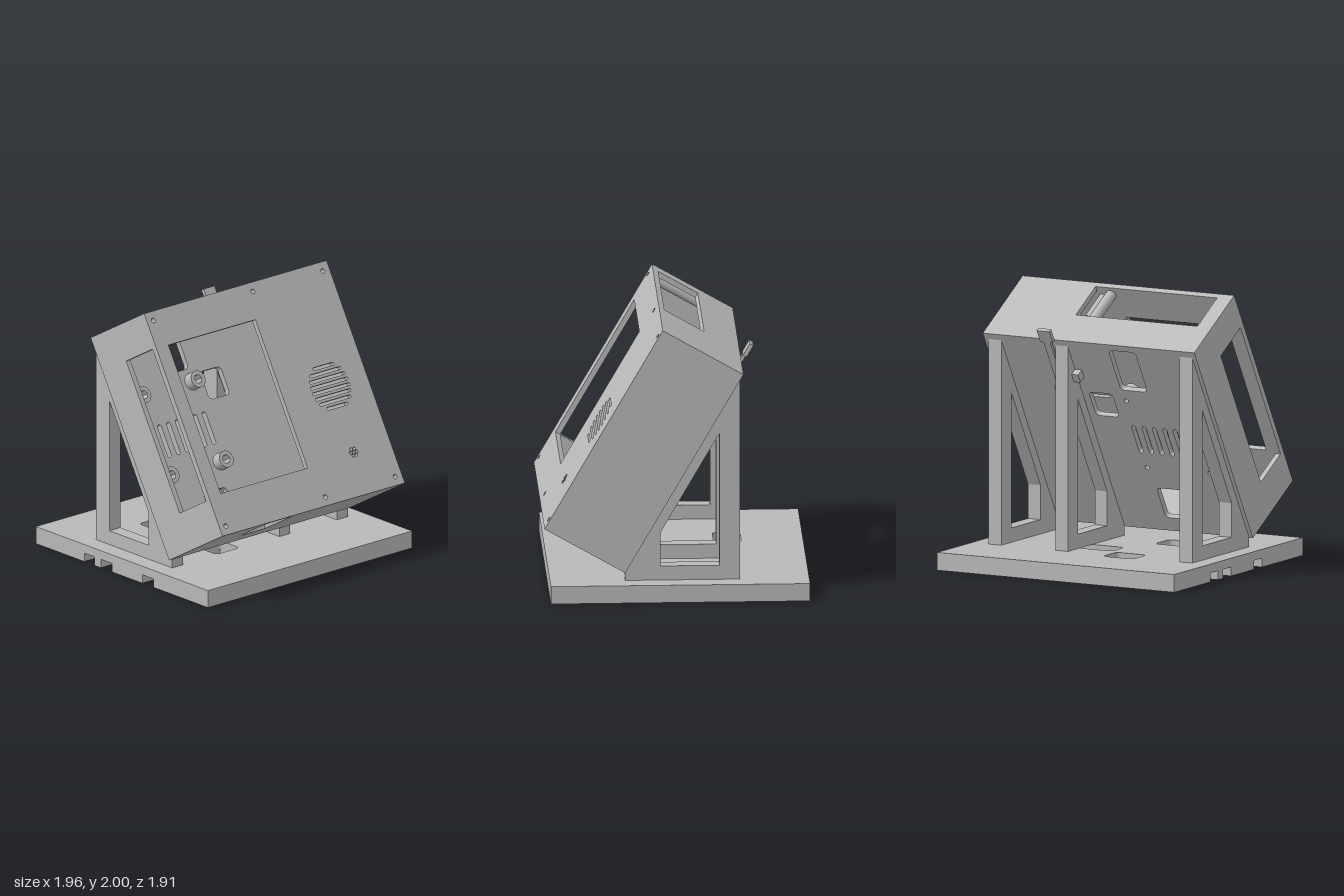
import * as THREE from 'three';

const grey = new THREE.MeshStandardMaterial({ color: 0xb8b8b8 });
grey.name = 'plastic grey';

// Rounded rectangle from min to max corner; r = 0 gives sharp corners
function rect(x0, y0, x1, y1, r = 0, path = new THREE.Path()) {
  if (r === 0) {
    path.setFromPoints([[x0, y0], [x1, y0], [x1, y1], [x0, y1]].map(p => new THREE.Vector2(...p)));
    return path;
  }
  path.absarc(x1 - r, y0 + r, r, -Math.PI / 2, 0);
  path.absarc(x1 - r, y1 - r, r, 0, Math.PI / 2);
  path.absarc(x0 + r, y1 - r, r, Math.PI / 2, Math.PI);
  path.absarc(x0 + r, y0 + r, r, Math.PI, Math.PI * 1.5);
  return path;
}

const circle = (x, y, r, path = new THREE.Path()) => path.absarc(x, y, r, 0, Math.PI * 2);
const poly = (pts) => new THREE.Shape(pts.map(p => new THREE.Vector2(...p)));
const rectShape = (...a) => rect(a[0], a[1], a[2], a[3], 0, new THREE.Shape());

// Extruded plate with holes, added to a parent
function plate(parent, name, shape, holes, depth, curveSegments = 8) {
  shape.holes.push(...holes);
  const geo = new THREE.ExtrudeGeometry(shape, { depth, bevelEnabled: false, curveSegments });
  const mesh = new THREE.Mesh(geo, grey);
  mesh.name = name;
  parent.add(mesh);
  return mesh;
}

function box(parent, name, x0, x1, y0, y1, z0, z1) {
  const mesh = new THREE.Mesh(new THREE.BoxGeometry(x1 - x0, y1 - y0, z1 - z0), grey);
  mesh.position.set((x0 + x1) / 2, (y0 + y1) / 2, (z0 + z1) / 2);
  mesh.name = name;
  parent.add(mesh);
}

// Base slab: cable holes, channels under it to the -x edge, foot recesses
function buildBase(parent) {
  const base = new THREE.Group();
  base.name = 'base';
  const X = 0.98, Z0 = -0.955, Z1 = 0.91;
  const cutouts = [
    { x: [-0.41, -0.19], z: [0.15, 0.36], c: [0.2, 0.32] },
    { x: [-0.08, 0.28], z: [-0.28, -0.1], c: [-0.25, -0.13] },
    { x: [-0.385, -0.135], z: [-0.51, -0.31], c: [-0.43, -0.32] },
  ];
  const outline = () => {
    const pts = [[X, Z0], [X, Z1], [-X, Z1]];
    for (const { x, z, c } of cutouts) {
      pts.push([-X, c[1]], [x[0], c[1]], [x[0], z[1]], [x[1], z[1]],
        [x[1], z[0]], [x[0], z[0]], [x[0], c[0]], [-X, c[0]]);
    }
    pts.push([-X, Z0]);
    return poly(pts);
  };
  const holes = cutouts.map(({ x, z }) => rect(x[0], z[0], x[1], z[1], 0.035));
  const feet = [];
  for (const x of [-0.87, 0.87]) for (const z of [-0.845, 0.8]) feet.push(circle(x, z, 0.055));
  const layers = [
    ['baseTop', rectShape(-X, Z0, X, Z1), holes, 0.065, 0.13],
    ['baseChannels', outline(), [], 0.05, 0.065],
    ['baseUnderside', outline(), feet, 0.015, 0.015],
  ];
  for (const [name, shape, cut, depth, y] of layers) {
    const m = plate(base, name, shape, cut, depth);
    m.rotation.x = Math.PI / 2;
    m.position.y = y;
  }
  parent.add(base);
}

// Three triangular frames carrying the case
function buildLegs(parent) {
  for (const [x0, x1] of [[-0.845, -0.74], [0.185, 0.285], [0.735, 0.84]]) {
    const shape = poly([[0.37, 0.13], [0.37, 0.195], [-0.455, 1.625], [-0.455, 0.13]]);
    const hole = poly([[0.115, 0.235], [0.115, 0.485], [-0.31, 1.225], [-0.31, 0.235]]);
    const leg = plate(parent, 'leg', shape, [hole], x1 - x0);
    leg.rotation.y = -Math.PI / 2;
    leg.position.x = x1;
  }
}

// Hollow case, built upright and then leaned back 30 degrees
function buildCase(parent) {
  const W = 0.875, H = 1.7, D = 0.67, T = 0.04;
  const shell = new THREE.Group();
  shell.name = 'case';
  shell.position.set(0, 0.195, 0.37);
  shell.rotation.x = -Math.PI / 6;
  parent.add(shell);

  const screws = [];
  for (const x of [-0.815, 0.14, 0.81]) for (const y of [0.064, 1.634]) screws.push([x, y]);
  const bosses = [];
  for (const x of [-0.685, -0.165]) for (const y of [0.575, 1.186]) bosses.push([x, y]);

  // Front panel: window, speaker slots, microphone holes, screw holes
  const front = [rect(-0.76, 0.3, 0.075, 1.433)];
  [0.10, 0.15, 0.17, 0.18, 0.18, 0.17, 0.15, 0.10].forEach((half, i) => {
    const y = 0.82 + (3.5 - i) * 0.0433;
    front.push(rect(0.523 - half, y - 0.011, 0.523 + half, y + 0.011, 0.0108));
  });
  front.push(circle(0.525, 0.318, 0.012));
  for (let i = 0; i < 6; i++) {
    const a = i * Math.PI / 3;
    front.push(circle(0.525 + 0.028 * Math.cos(a), 0.318 + 0.028 * Math.sin(a), 0.012));
  }
  screws.forEach(([x, y]) => front.push(circle(x, y, 0.018)));
  plate(shell, 'frontPanel', rectShape(-W, 0, W, H), front, T).position.z = D - T;

  // Back panel: cable openings, vent slots, small holes behind the bosses
  const back = [
    rect(-0.37, 1.285, -0.15, 1.648, 0.035),
    rect(-0.065, 1.025, 0.13, 1.238, 0.035),
    rect(-0.41, 0.12, -0.19, 0.39, 0.03),
  ];
  for (let i = 0; i < 6; i++) {
    const x = -0.585 + i * 0.0855;
    back.push(rect(x - 0.0175, 0.707, x + 0.0175, 0.955, 0.017));
  }
  bosses.forEach(([x, y]) => back.push(circle(x, y, 0.018)));
  plate(shell, 'backPanel', rectShape(-W, 0, W, H), back, T + 0.005);

  // End walls, each with an opening
  const z0 = T + 0.005, z1 = D - T;
  const ends = [
    ['topWall', H, rect(-0.755, 0.295, 0.25, 0.625)],
    ['bottomWall', T, rect(-0.415, 0.3, -0.18, 0.625)],
  ];
  for (const [name, y, hole] of ends) {
    const wall = plate(shell, name, rectShape(-W, z0, W, z1), [hole], T);
    wall.rotation.x = Math.PI / 2;
    wall.position.y = y;
  }

  // Side walls, the right one open
  const sides = [['leftWall', W, []], ['rightWall', -W + T, [rect(0.295, 0.28, 0.625, 1.44)]]];
  for (const [name, x, holes] of sides) {
    const wall = plate(shell, name, rectShape(z0, T, z1, H - T), holes, T);
    wall.rotation.y = -Math.PI / 2;
    wall.position.x = x;
  }

  // Screw pillars between the panels
  for (const [x, y] of screws) {
    const pillar = plate(shell, 'screwPillar', circle(0, 0, 0.04, new THREE.Shape()),
      [circle(0, 0, 0.018)], z1 - z0, 16);
    pillar.position.set(x, y, z0);
  }
  const pin = new THREE.Mesh(new THREE.CylinderGeometry(0.03, 0.03, 0.25, 20), grey);
  pin.name = 'pin';
  pin.rotation.x = Math.PI / 2;
  pin.position.set(0.22, 1.6, 0.505);
  shell.add(pin);

  // Mounting bosses with hexagonal sockets
  for (const [x, y] of bosses) {
    const hex = [];
    for (let i = 0; i < 6; i++) {
      hex.push([0.034 * Math.cos(i * Math.PI / 3), 0.034 * Math.sin(i * Math.PI / 3)]);
    }
    const boss = plate(shell, 'boss', circle(0, 0, 0.063, new THREE.Shape()), [poly(hex)], 0.08, 20);
    boss.position.set(x, y, z0);
  }

  // Sliding latch on the back
  box(shell, 'latchHead', 0.27, 0.375, 1.71, 1.81, -0.045, -0.015);
  box(shell, 'latchStem', 0.295, 0.35, 1.3, 1.71, -0.04, -0.018);
  box(shell, 'latchFoot', 0.285, 0.375, 1.04, 1.3, -0.045, -0.01);
  box(shell, 'latchStop', 0.13, 0.185, 1.37, 1.44, -0.06, 0);
}

export function createModel() {
  const model = new THREE.Group();
  model.name = 'tiltedCaseOnStand';
  buildBase(model);
  buildLegs(model);
  buildCase(model);
  return model;
}
